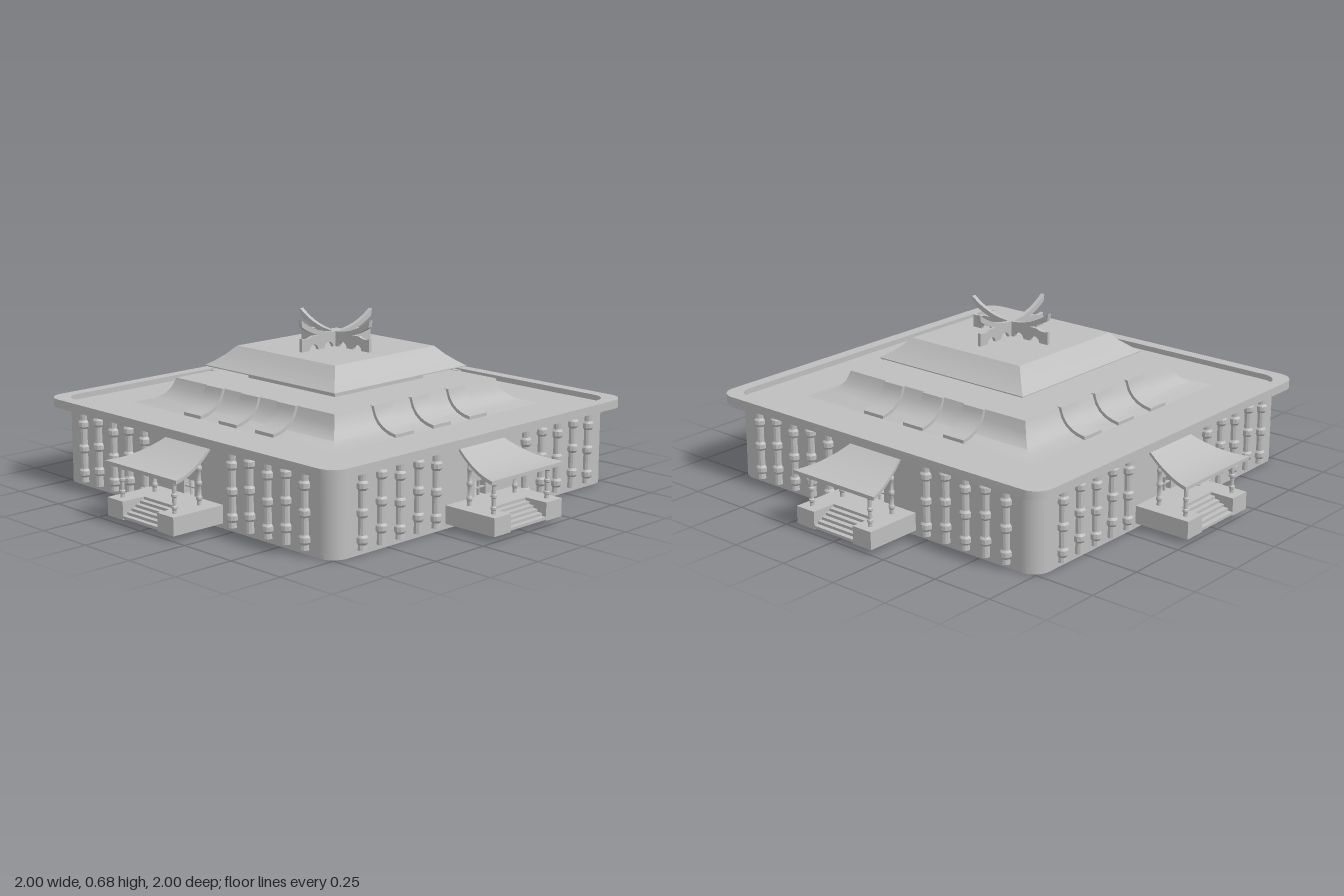
import * as THREE from 'three';
import { toCreasedNormals } from 'three/addons/utils/BufferGeometryUtils.js';

const stone = new THREE.MeshStandardMaterial({ color: 0xbebebe, side: THREE.DoubleSide });
stone.name = 'grey stone';

function add(parent, name, geometry, x = 0, y = 0, z = 0) {
  const mesh = new THREE.Mesh(geometry, stone);
  mesh.name = name;
  mesh.position.set(x, y, z);
  parent.add(mesh);
  return mesh;
}

const vectors = (points) => points.map(([x, y]) => new THREE.Vector2(x, y));
const boxGeo = (w, h, d) => new THREE.BoxGeometry(w, h, d);
const extrude = (shape, depth) =>
  new THREE.ExtrudeGeometry(shape, { depth, bevelEnabled: false, curveSegments: 8 });

// Square tier: profile of [half width, height] from bottom to top
function squareTier(profile) {
  const points = vectors(profile.map(([h, y]) => [h * Math.SQRT2, y]));
  const geo = new THREE.LatheGeometry(points, 4, Math.PI / 4);
  return toCreasedNormals(geo, 0.55);
}

function roundedSquare(h, r, Kind = THREE.Shape) {
  const s = new Kind();
  s.moveTo(h, -h + r);
  s.absarc(h - r, h - r, r, 0, Math.PI / 2);
  s.absarc(-h + r, h - r, r, Math.PI / 2, Math.PI);
  s.absarc(-h + r, -h + r, r, Math.PI, Math.PI * 1.5);
  s.absarc(h - r, -h + r, r, Math.PI * 1.5, Math.PI * 2);
  return s;
}

// Horizontal plate with its underside at height 0
function plate(shape, thickness) {
  return toCreasedNormals(extrude(shape, thickness).rotateX(-Math.PI / 2), 0.5);
}

// Bamboo pole: joints that narrow in the middle and flare at the nodes
function bamboo(radius, height, joints, offset = 0) {
  const points = [[0, 0], [radius, 0]];
  for (let i = 0; i < joints; i++) {
    const y = (height * (i + 0.5 + offset)) / joints;
    const g = height * 0.03;
    points.push([radius * 0.88, y - g * 2], [radius * 1.25, y - g], [radius * 1.25, y + g], [radius * 0.88, y + g * 2]);
  }
  points.push([radius, height], [0, height]);
  return toCreasedNormals(new THREE.LatheGeometry(vectors(points), 10), 0.6);
}

// Flared awning: narrow and high at the wall, wide and low at the eave
function awning() {
  const geo = new THREE.BoxGeometry(2, 0.014, 1, 1, 1, 10);
  const p = geo.attributes.position;
  for (let i = 0; i < p.count; i++) {
    const t = p.getZ(i) + 0.5;
    p.setX(i, p.getX(i) * (0.12 + 0.085 * t));
    p.setY(i, p.getY(i) + 0.221 + 0.07 * (1 - t) ** 2);
    p.setZ(i, 0.76 + 0.236 * t);
  }
  return toCreasedNormals(geo, 0.5);
}

// Staircase side profile, open beneath
function stairs() {
  const steps = 6, z0 = 0.88, z1 = 1.0, y0 = 0.025, y1 = 0.09;
  const s = new THREE.Shape();
  s.moveTo(z0, y1);
  for (let i = 0; i < steps; i++) {
    const z = z0 + ((z1 - z0) * (i + 1)) / steps;
    s.lineTo(z, y1 - ((y1 - y0) * i) / steps);
    s.lineTo(z, y1 - ((y1 - y0) * (i + 1)) / steps);
  }
  s.lineTo(z1 - 0.015, y0);
  s.lineTo(z0, y1 - 0.015);
  return extrude(s, 0.2).rotateY(-Math.PI / 2).translate(0.1, 0, 0);
}

function makePorch() {
  const porch = new THREE.Group();
  porch.name = 'porch';
  for (const s of [-1, 1]) {
    add(porch, 'stairCheek', boxGeo(0.09, 0.07, 0.24), s * 0.145, 0.055, 0.88);
    add(porch, 'frontPost', bamboo(0.009, 0.138, 3), s * 0.15, 0.088, 0.96);
    add(porch, 'backPost', bamboo(0.009, 0.168, 3), s * 0.128, 0.088, 0.825);
  }
  add(porch, 'landing', boxGeo(0.2, 0.015, 0.12), 0, 0.0825, 0.82);
  add(porch, 'stairs', stairs());
  add(porch, 'awning', awning());
  return porch;
}

// One wall with its window, columns, porch and roof ribs, facing +z
function makeSide() {
  const side = new THREE.Group();
  side.name = 'side';

  const wall = new THREE.Shape(vectors([[-0.695, 0], [0.695, 0], [0.695, 0.315], [-0.695, 0.315]]));
  wall.holes.push(new THREE.Path(vectors([[-0.03, 0.09], [-0.03, 0.15], [0.03, 0.15], [0.03, 0.09]])));
  add(side, 'wall', extrude(wall, 0.03), 0, 0, 0.735);
  add(side, 'windowUpright', boxGeo(0.005, 0.06, 0.01), 0, 0.12, 0.755);
  add(side, 'windowCrossbar', boxGeo(0.06, 0.005, 0.01), 0, 0.12, 0.755);

  const corner = new THREE.CylinderGeometry(0.07, 0.07, 0.315, 6, 1, true, 0, Math.PI / 2);
  add(side, 'roundedCorner', corner, 0.695, 0.1575, 0.695);

  for (let i = 0; i < 5; i++) {
    for (const s of [-1, 1]) {
      const pole = bamboo(0.018, 0.295, 3, i % 2 ? 0.12 : -0.12);
      add(side, 'bambooColumn', pole, s * (0.25 + i * 0.095), 0.02, 0.772);
    }
  }

  // Curved ribs lying on the lower roof
  const rib = new THREE.Shape();
  rib.moveTo(0.44, 0.422);
  rib.lineTo(0.46, 0.422);
  rib.bezierCurveTo(0.47, 0.375, 0.50, 0.342, 0.572, 0.333);
  rib.lineTo(0.572, 0.318);
  rib.lineTo(0.44, 0.318);
  const ribGeo = toCreasedNormals(extrude(rib, 0.1).rotateY(-Math.PI / 2), 0.5);
  for (const x of [-0.205, 0, 0.205]) add(side, 'roofRib', ribGeo, x + 0.05);

  side.add(makePorch());
  return side;
}

// Thin crest: arched base plate below an upswept ridge
function makeCrest() {
  const crest = new THREE.Group();
  crest.name = 'crest';
  const base = new THREE.Shape();
  base.moveTo(-0.19, 0.548);
  for (const x of [-0.125, -0.045, 0.045, 0.125]) {
    base.lineTo(x - 0.024, 0.548);
    base.absarc(x, 0.548, 0.024, Math.PI, 0, true);
  }
  base.lineTo(0.19, 0.548);
  base.lineTo(0.19, 0.602);
  base.quadraticCurveTo(0.16, 0.592, 0.135, 0.606);
  base.lineTo(-0.135, 0.606);
  base.quadraticCurveTo(-0.16, 0.592, -0.19, 0.602);
  add(crest, 'crestBase', extrude(base, 0.014), 0, 0, -0.007);

  const ridge = new THREE.Shape();
  ridge.moveTo(-0.195, 0.677);
  ridge.quadraticCurveTo(-0.11, 0.612, 0, 0.61);
  ridge.quadraticCurveTo(0.11, 0.612, 0.195, 0.677);
  ridge.lineTo(0.19, 0.648);
  ridge.quadraticCurveTo(0.11, 0.595, 0, 0.59);
  ridge.quadraticCurveTo(-0.11, 0.595, -0.19, 0.648);
  add(crest, 'upsweptRidge', toCreasedNormals(extrude(ridge, 0.018), 0.5), 0, 0, -0.009);
  return crest;
}

export function createModel() {
  const model = new THREE.Group();
  model.name = 'pavilion';

  // Base and the rimmed main roof
  add(model, 'floor', plate(roundedSquare(0.765, 0.07), 0.02));
  add(model, 'mainRoof', plate(roundedSquare(0.78, 0.07), 0.012), 0, 0.308, 0);
  const rim = roundedSquare(0.815, 0.075);
  rim.holes.push(roundedSquare(0.765, 0.07, THREE.Path));
  add(model, 'roofRim', plate(rim, 0.034), 0, 0.308, 0);

  // Stepped upper tiers
  add(model, 'lowerRoof', squareTier([
    [0.572, 0.32], [0.535, 0.327], [0.505, 0.339], [0.48, 0.357], [0.461, 0.382], [0.447, 0.42], [0, 0.42],
  ]));
  add(model, 'upperWall', squareTier([[0.245, 0.415], [0.245, 0.475]]));
  add(model, 'upperRoof', squareTier([
    [0, 0.468], [0.365, 0.468], [0.365, 0.472], [0.34, 0.489], [0.305, 0.518], [0.275, 0.55], [0, 0.55],
  ]));

  for (let i = 0; i < 4; i++) {
    const side = makeSide();
    side.rotation.y = (i * Math.PI) / 2;
    model.add(side);
  }
  for (let i = 0; i < 2; i++) {
    const crest = makeCrest();
    crest.rotation.y = (i * Math.PI) / 2;
    model.add(crest);
  }
  return model;
}
